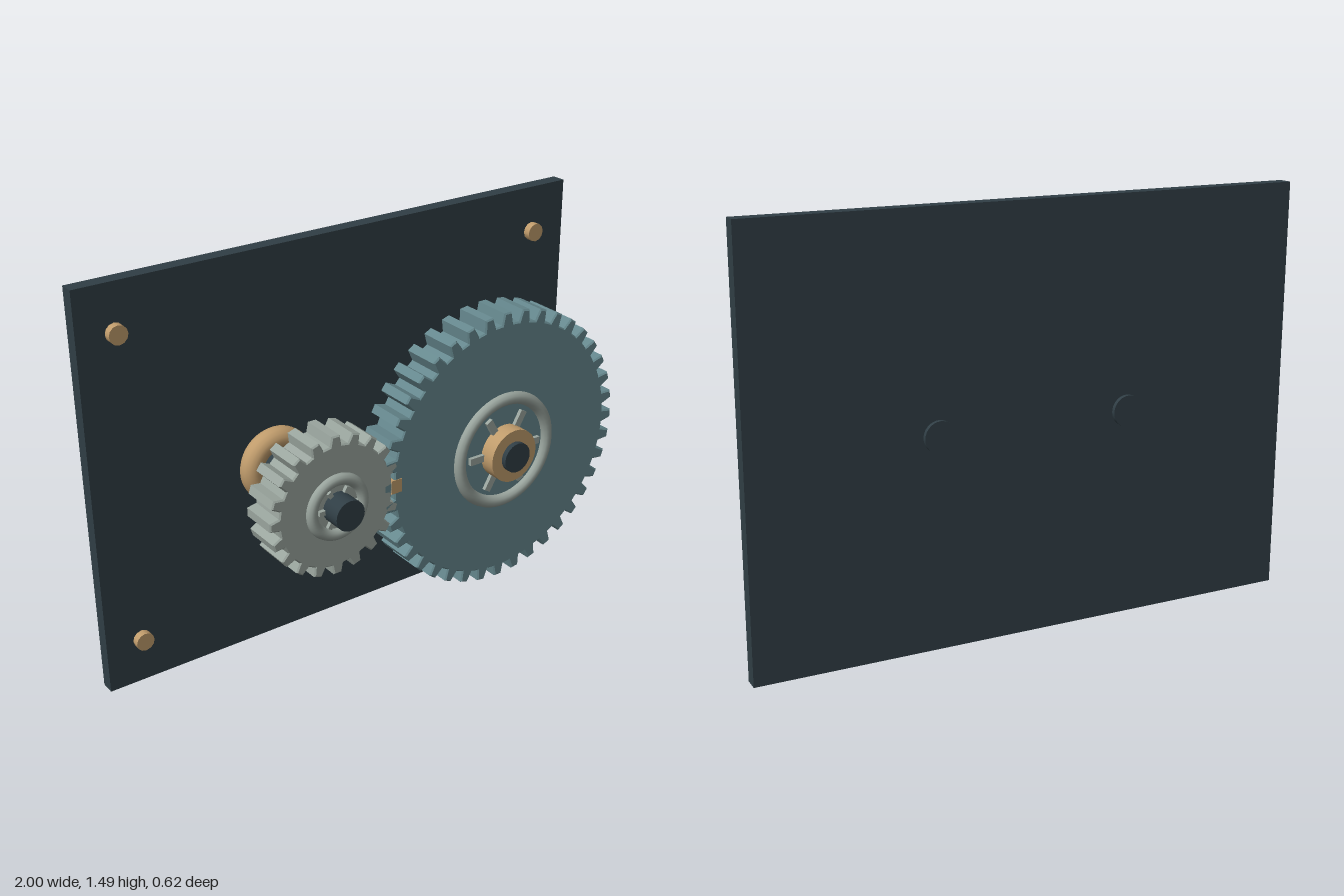
import * as THREE from 'three';

const mat = (name, color) => {
  const m = new THREE.MeshStandardMaterial({ color });
  m.name = name;
  return m;
};

export function createModel() {
  const dark = mat('dark steel', 0x303e45);
  const teal = mat('teal paint', 0x66888e);
  const grey = mat('pale grey metal', 0x9aa59e);
  const brass = mat('brass', 0xc09c6c);

  const model = new THREE.Group();
  model.name = 'gearTrain';
  const axisY = 0.745;

  const add = (parent, name, geometry, material, x = 0, y = 0, z = 0) => {
    const mesh = new THREE.Mesh(geometry, material);
    mesh.name = name;
    mesh.position.set(x, y, z);
    parent.add(mesh);
    return mesh;
  };

  // Cylinder lying along z between two depths
  const rod = (radius, z0, z1, sides) =>
    new THREE.CylinderGeometry(radius, radius, z1 - z0, sides)
      .rotateX(Math.PI / 2)
      .translate(0, 0, (z0 + z1) / 2);

  // Toothed wheel with tapered teeth, spanning z 0.087 to 0.233
  const gearGeometry = (teeth, outer, root) => {
    const step = (Math.PI * 2) / teeth;
    const points = [];
    for (let i = 0; i < teeth; i++) {
      for (const [r, offset] of [[root, -0.32], [outer, -0.19], [outer, 0.19], [root, 0.32]]) {
        const a = (i + offset) * step;
        points.push(new THREE.Vector2(r * Math.cos(a), r * Math.sin(a)));
      }
    }
    const bevel = 0.005;
    return new THREE.ExtrudeGeometry(new THREE.Shape(points), {
      depth: 0.146 - 2 * bevel,
      bevelEnabled: true,
      bevelThickness: bevel,
      bevelSize: bevel,
      bevelOffset: -bevel,
      bevelSegments: 1,
    }).translate(0, 0, 0.087 + bevel);
  };

  // Backplate with four corner bolts
  add(model, 'backplate', new THREE.BoxGeometry(2, 1.49, 0.053), dark, 0, axisY, -0.2675);
  for (const x of [-0.865, 0.85]) {
    for (const y of [0.17, 1.32]) {
      add(model, 'cornerBolt', rod(0.034, -0.245, -0.213, 12), brass, x, y);
    }
  }

  // Shaft, bearing ring, gear, face ring and spokes for each wheel
  const wheels = [
    { name: 'smallWheel', x: -0.354, teeth: 20, outer: 0.256, root: 0.222, material: grey,
      ring: 0.1, tube: 0.021, spokeEnd: 0.077, spokeWidth: 0.016 },
    { name: 'largeWheel', x: 0.348, teeth: 40, outer: 0.514, root: 0.472, material: teal,
      ring: 0.196, tube: 0.023, spokeEnd: 0.155, spokeWidth: 0.026 },
  ];
  for (const w of wheels) {
    const wheel = new THREE.Group();
    wheel.name = w.name;
    wheel.position.set(w.x, axisY, 0);
    model.add(wheel);

    add(wheel, 'shaft', rod(0.055, -0.309, 0.311, 28), dark);
    add(wheel, 'bearingRing', new THREE.TorusGeometry(0.098, 0.0415, 16, 40), brass, 0, 0, -0.14);
    add(wheel, 'gear', gearGeometry(w.teeth, w.outer, w.root), w.material);
    add(wheel, 'faceRing', new THREE.TorusGeometry(w.ring, w.tube, 12, 48), grey, 0, 0, 0.233);
    for (let i = 0; i < 6; i++) {
      const spoke = add(wheel, 'spoke',
        new THREE.BoxGeometry(w.spokeEnd - 0.03, w.spokeWidth, 0.024)
          .translate((w.spokeEnd + 0.03) / 2, 0, 0),
        grey, 0, 0, 0.235);
      spoke.rotation.z = (i * Math.PI) / 3;
    }
    // Raised hub on the large wheel only
    if (w.name === 'largeWheel') add(wheel, 'hub', rod(0.098, 0.22, 0.292, 28), brass);
  }

  // Small key where the teeth meet
  add(model, 'meshKey', new THREE.BoxGeometry(0.042, 0.05, 0.14), brass, -0.115, axisY, 0.165);

  return model;
}
